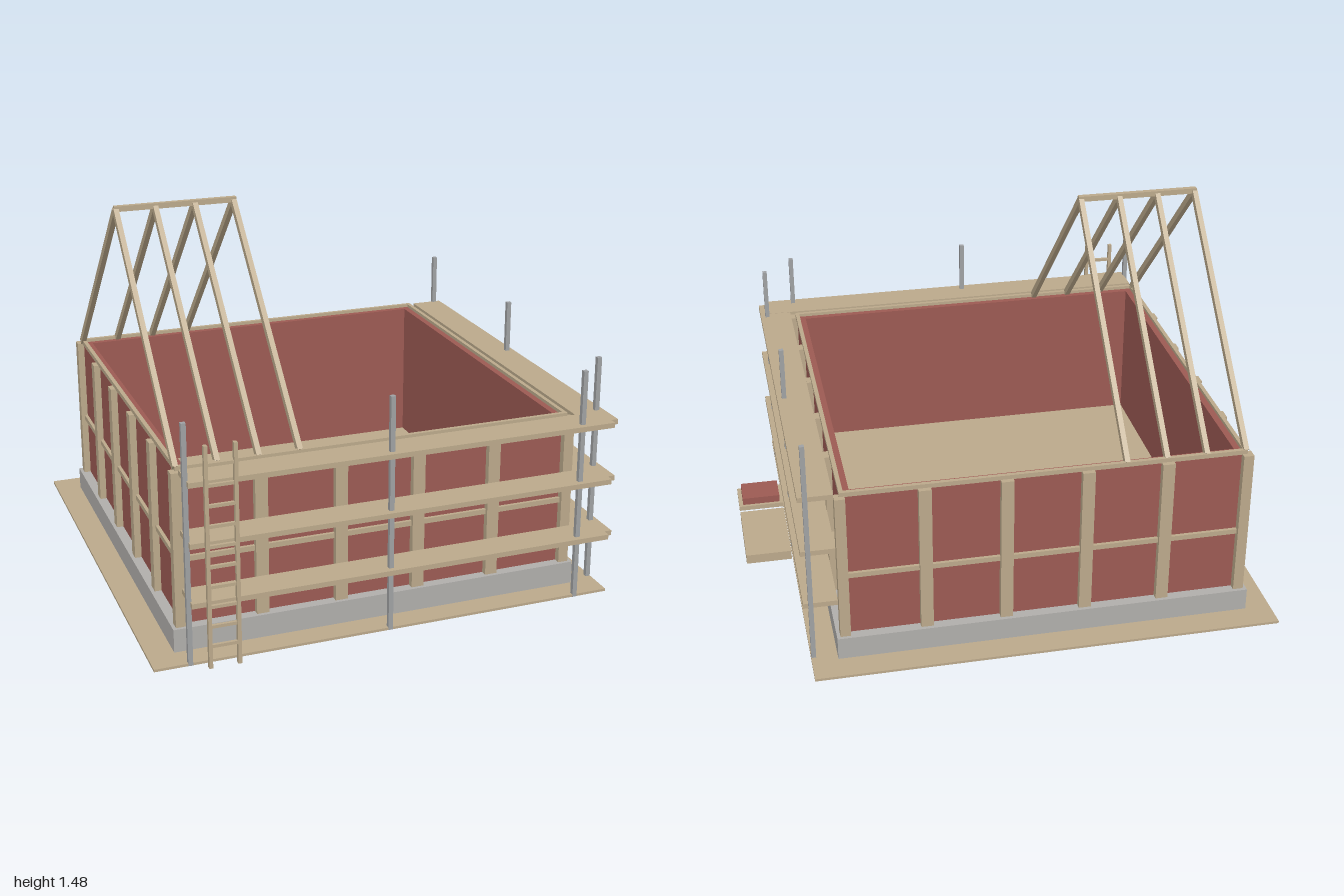
import * as THREE from 'three';

const mat = (name, color) => {
  const m = new THREE.MeshStandardMaterial({ color });
  m.name = name;
  return m;
};

export function createModel() {
  const root = new THREE.Group();
  root.name = 'houseUnderConstruction';
  const wood = mat('timber', 0xbba98b);
  const brick = mat('brick', 0x9c5a53);
  const concrete = mat('concrete', 0xb0aeab);
  const steel = mat('steel', 0x9fa1a3);
  const CX = -0.095, CZ = -0.02; // centre of the house

  // Box given by its minimum and maximum on each axis
  const box = (parent, name, m, x0, x1, y0, y1, z0, z1) => {
    const mesh = new THREE.Mesh(new THREE.BoxGeometry(x1 - x0, y1 - y0, z1 - z0), m);
    mesh.position.set((x0 + x1) / 2, (y0 + y1) / 2, (z0 + z1) / 2);
    mesh.name = name;
    parent.add(mesh);
  };
  // Square frame around the house centre, standing between two heights
  const ring = (parent, name, m, outer, inner, y0, y1) => {
    const square = (C, h) => new C([[-h, -h], [h, -h], [h, h], [-h, h]].map(p => new THREE.Vector2(...p)));
    const shape = square(THREE.Shape, outer);
    shape.holes.push(square(THREE.Path, inner));
    const geo = new THREE.ExtrudeGeometry(shape, { depth: y1 - y0, bevelEnabled: false });
    geo.rotateX(-Math.PI / 2);
    const mesh = new THREE.Mesh(geo, m);
    mesh.position.set(CX, y0, CZ);
    mesh.name = name;
    parent.add(mesh);
  };
  const group = name => {
    const g = new THREE.Group();
    g.name = name;
    root.add(g);
    return g;
  };

  // Ground board, foundation and inner floor
  box(root, 'ground', wood, -1, 0.81, 0, 0.01, -0.93, 0.88);
  ring(root, 'foundation', concrete, 0.805, 0.7, 0.005, 0.1);
  box(root, 'floor', wood, CX - 0.735, CX + 0.735, 0.095, 0.115, CZ - 0.735, CZ + 0.735);

  // Brick walls with timber frame
  const house = group('house');
  ring(house, 'walls', brick, 0.765, 0.731, 0.1, 0.703);
  ring(house, 'topPlate', wood, 0.772, 0.756, 0.698, 0.716);
  ring(house, 'middleRail', wood, 0.778, 0.76, 0.35, 0.37);
  for (const s of [-1, 1]) {
    for (const t of [-1, 1]) {
      const x = CX + s * 0.772, z = CZ + t * 0.772;
      box(house, 'cornerPost', wood, x - 0.02, x + 0.02, 0.1, 0.7, z - 0.02, z + 0.02);
    }
    for (const k of [-1.5, -0.5, 0.5, 1.5]) {
      const d = k * 0.307, a = s * 0.775;
      box(house, 'wallPost', wood, CX + d - 0.024, CX + d + 0.024, 0.1, 0.7, CZ + a - 0.016, CZ + a + 0.016);
      box(house, 'wallPost', wood, CX + a - 0.016, CX + a + 0.016, 0.1, 0.7, CZ + d - 0.024, CZ + d + 0.024);
    }
  }

  // Part-built roof: ridge and four pairs of rafters
  const roof = group('roof');
  box(roof, 'ridge', wood, -0.87, -0.39, 1.455, 1.476, CZ - 0.011, CZ + 0.011);
  const run = 0.76, rise = 0.752;
  for (const x of [-0.863, -0.71, -0.555, -0.4]) {
    for (const s of [-1, 1]) {
      const rafter = new THREE.Mesh(new THREE.BoxGeometry(0.02, 0.026, Math.hypot(run, rise)), wood);
      rafter.position.set(x, 0.708 + rise / 2, CZ + s * run / 2);
      rafter.rotation.x = s * Math.atan2(rise, run);
      rafter.name = 'rafter';
      roof.add(rafter);
    }
  }

  // Scaffold decks on two sides, with steel poles
  const scaffold = group('scaffold');
  for (const y of [0.243, 0.473, 0.703]) {
    box(scaffold, 'frontDeck', wood, -0.86, 0.797, y - 0.01, y + 0.01, 0.773, 0.902);
    box(scaffold, 'sideDeck', wood, 0.698, 0.828, y - 0.011, y + 0.009, -0.79, 0.87);
  }
  const pole = (x, z) => box(scaffold, 'pole', steel, x - 0.009, x + 0.009, 0, 0.925, z - 0.009, z + 0.009);
  for (const d of [-0.77, 0, 0.77]) {
    pole(CX + d, 0.872);
    pole(0.8, CZ + d);
  }

  // Ladder
  const ladder = group('ladder');
  for (const x of [-0.802, -0.694]) box(ladder, 'ladderRail', wood, x - 0.007, x + 0.007, 0, 0.85, 0.908, 0.926);
  for (let i = 0; i < 10; i++) {
    const y = 0.085 + i * 0.077;
    box(ladder, 'rung', wood, -0.8, -0.696, y - 0.006, y + 0.006, 0.911, 0.923);
  }

  // Stacked boards and a pallet of bricks
  const supplies = group('supplies');
  box(supplies, 'lowerBoards', wood, 0.815, 1, 0.005, 0.022, -0.112, 0.227);
  box(supplies, 'upperBoards', wood, 0.815, 1, 0.022, 0.045, -0.113, 0.228);
  box(supplies, 'pallet', wood, 0.81, 1, 0.005, 0.025, 0.302, 0.455);
  box(supplies, 'brickStack', brick, 0.825, 0.983, 0.025, 0.056, 0.315, 0.442);

  return root;
}
